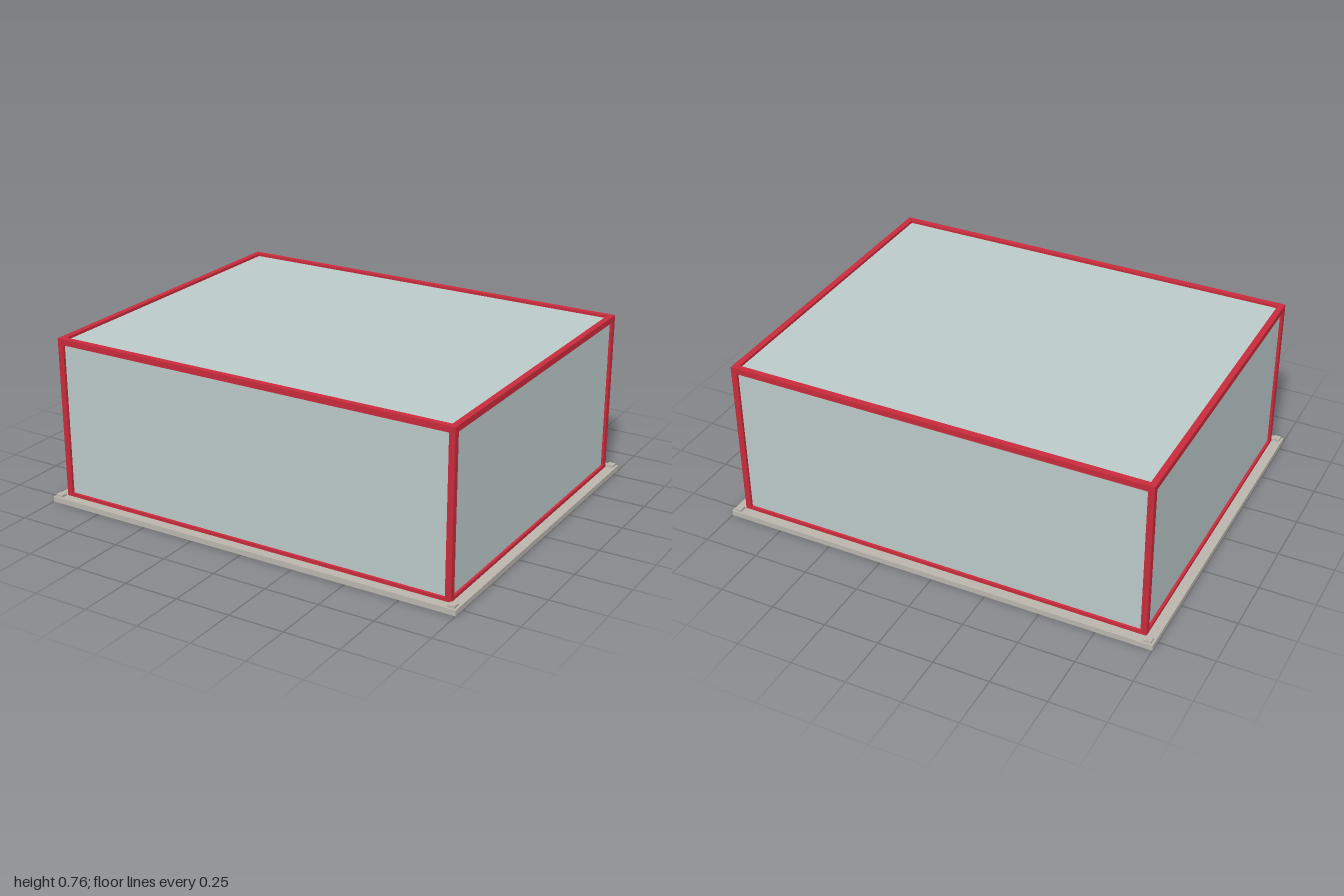
import * as THREE from 'three';

const mat = (name, color) => {
  const m = new THREE.MeshStandardMaterial({ color });
  m.name = name;
  return m;
};

export function createModel() {
  const group = new THREE.Group();
  const stone = mat('warm grey', 0xb9b5ad);
  const red = mat('frame red', 0xc82b3b);
  const glass = mat('pale glass', 0xbbc9c9);

  // Box given by its centre and size
  const box = (name, material, [w, h, d], [x, y, z]) => {
    const mesh = new THREE.Mesh(new THREE.BoxGeometry(w, h, d), material);
    mesh.name = name;
    mesh.position.set(x, y, z);
    group.add(mesh);
  };

  const X = 0.955, Z = 0.761, T = 0.027; // frame half-extents and bar thickness
  const TOP = 0.76, BOTTOM = 0.013, INSET = 0.012;
  const midY = (TOP + BOTTOM) / 2, height = TOP - BOTTOM;
  const bx = X - T / 2, bz = Z - T / 2;

  // Base slab
  box('base', stone, [2, 0.025, 1.612], [0, 0.0125, 0]);

  // Corner pads and posts
  for (const sx of [-1, 1]) for (const sz of [-1, 1]) {
    box('cornerPad', stone, [0.032, 0.012, 0.032], [sx * 0.974, 0.03, sz * 0.782]);
    box('cornerPost', red, [T, height, T], [sx * bx, midY, sz * bz]);
  }

  // Top and bottom rails between the posts
  for (const y of [BOTTOM + T / 2, TOP - T / 2]) for (const s of [-1, 1]) {
    box('longRail', red, [2 * (X - T), T, T], [0, y, s * bz]);
    box('sideRail', red, [T, T, 2 * (Z - T)], [s * bx, y, 0]);
  }

  // Panels recessed in the frame
  const thick = 0.008, off = INSET + thick / 2;
  const panelW = 2 * (X - T) + 0.01, panelD = 2 * (Z - T) + 0.01, panelH = height - 2 * T + 0.01;
  for (const s of [-1, 1]) {
    box('longPanel', glass, [panelW, panelH, thick], [0, midY, s * (Z - off)]);
    box('sidePanel', glass, [thick, panelH, panelD], [s * (X - off), midY, 0]);
  }
  box('topPanel', glass, [panelW, thick, panelD], [0, TOP - off, 0]);

  return group;
}
